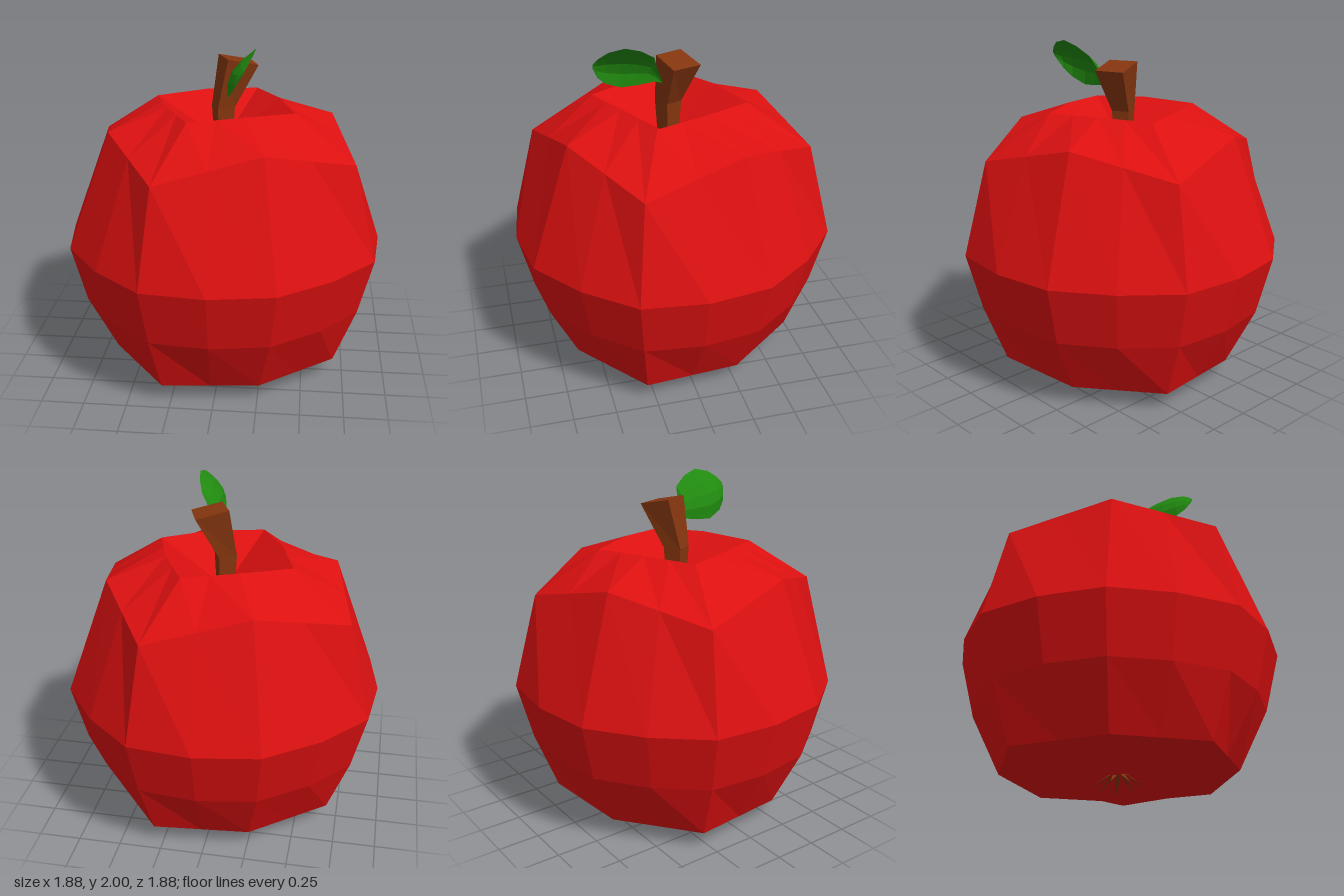
import * as THREE from 'three';

// Faceted skin through a list of equally long point rows
function loft(rows, closed) {
  const pos = [];
  const tri = (a, b, c) => {
    const n = b.clone().sub(a).cross(c.clone().sub(a));
    if (n.length() > 1e-7) pos.push(...a.toArray(), ...b.toArray(), ...c.toArray());
  };
  for (let r = 0; r < rows.length - 1; r++) {
    const a = rows[r], b = rows[r + 1], n = a.length;
    for (let i = 0; i < (closed ? n : n - 1); i++) {
      const j = (i + 1) % n;
      tri(a[i], b[i], b[j]);
      tri(a[i], b[j], a[j]);
    }
  }
  const g = new THREE.BufferGeometry();
  g.setAttribute('position', new THREE.Float32BufferAttribute(pos, 3));
  g.computeVertexNormals();
  return g;
}

const V = (x, y, z) => new THREE.Vector3(x, y, z);
const turn = (p) => V(p.z, p.y, -p.x);

// Repeat a quarter of a ring four times round the y axis
function ring(quarter) {
  const out = [];
  let q = quarter;
  for (let k = 0; k < 4; k++) {
    out.push(...q);
    q = q.map(turn);
  }
  return out;
}

// Eight-cornered ring with a point in the middle of each edge
function octagon(corner, mid) {
  const half = (a, b) => a.clone().lerp(b, 0.5);
  return ring([corner, half(corner, mid), mid, half(mid, turn(corner))]);
}

// Rounded sixteen-sided ring
const belly = (y, s) => ring(
  [[-0.38, 0.9], [-0.01, 0.94], [0.36, 0.88], [0.66, 0.66]].map(([x, z]) => V(x * s, y, z * s)));

export function createModel() {
  const red = new THREE.MeshStandardMaterial({ color: 0xdc1010 });
  red.name = 'apple red';
  const brown = new THREE.MeshStandardMaterial({ color: 0x85360f, side: THREE.DoubleSide });
  brown.name = 'stem brown';
  const green = new THREE.MeshStandardMaterial({ color: 0x20890f, side: THREE.DoubleSide });
  green.name = 'leaf green';
  for (const m of [red, brown, green]) m.flatShading = true;

  const group = new THREE.Group();
  const add = (name, geometry, material) => {
    const mesh = new THREE.Mesh(geometry, material);
    mesh.name = name;
    group.add(mesh);
  };

  // Fruit, from the top hollow over the shoulder down to the bottom hollow
  add('fruit', loft([
    Array(16).fill(V(0, 1.39, 0)),
    octagon(V(-0.17, 1.61, 0.42), V(0.14, 1.62, 0.32)),
    octagon(V(-0.32, 1.36, 0.77), V(0.27, 1.5, 0.64)),
    belly(0.805, 1),
    belly(0.46, 0.908),
    octagon(V(-0.3, 0.11, 0.69), V(0.26, 0.11, 0.64)),
    octagon(V(-0.15, 0.05, 0.35), V(0.12, 0, 0.31)),
    Array(16).fill(V(0, 0.14, 0)),
  ], true), red);

  // Square stem, bent and widening to a slanted cut top
  const top = [V(0.03, 1.89, 0.08), V(0.2, 1.85, 0.02), V(0.14, 1.85, -0.15), V(-0.04, 1.89, -0.08)];
  const bend = [V(-0.03, 1.6, 0.075), V(0.065, 1.6, 0.025), V(0.02, 1.6, -0.07), V(-0.075, 1.6, -0.02)];
  const foot = bend.map((p) => V(p.x * 0.8, 1.37, p.z * 0.8));
  add('stem', loft([Array(4).fill(V(0.083, 1.87, -0.033)), top, bend, foot], true), brown);

  // Cupped leaf: z, lower y, upper y, depth of the cup
  const sections = [
    [0.05, 1.73, 1.74, 0], [0.1, 1.745, 1.86, 0.02], [0.12, 1.74, 1.92, 0.035], [0.2, 1.727, 1.972, 0.05],
    [0.29, 1.722, 2.0, 0.055], [0.38, 1.76, 1.98, 0.045], [0.43, 1.81, 1.945, 0.025], [0.46, 1.88, 1.91, 0],
  ];
  const rows = sections.map(([z, lo, hi, cup]) => [0, 0.25, 0.5, 0.75, 1].map((t) => {
    const y = lo + (hi - lo) * t;
    const d = cup * 4 * t * (1 - t);
    return V(0.05 + (y - 1.73) * 0.56 - d, y + d * 0.3 * (1 - t), z);
  }));
  add('leaf', loft(rows, false), green);

  // Dried flower remains: a star of drooping spikes in the bottom hollow
  const spikes = [];
  for (let i = 0; i < 9; i++) {
    const a = (i / 9) * Math.PI * 2;
    const at = (r, y, da) => V(r * Math.sin(a + da), y, r * Math.cos(a + da));
    spikes.push([at(0.0, 0.13, 0), at(0.06, 0.085, -0.22), at(0.16, 0.015, 0), at(0.06, 0.085, 0.22)]);
  }
  const calyx = new THREE.Group();
  calyx.name = 'calyx';
  for (const [base, left, tip, right] of spikes) {
    const mesh = new THREE.Mesh(loft([[base, right], [left, tip]], false), brown);
    mesh.name = 'sepal';
    calyx.add(mesh);
  }
  group.add(calyx);
  return group;
}
